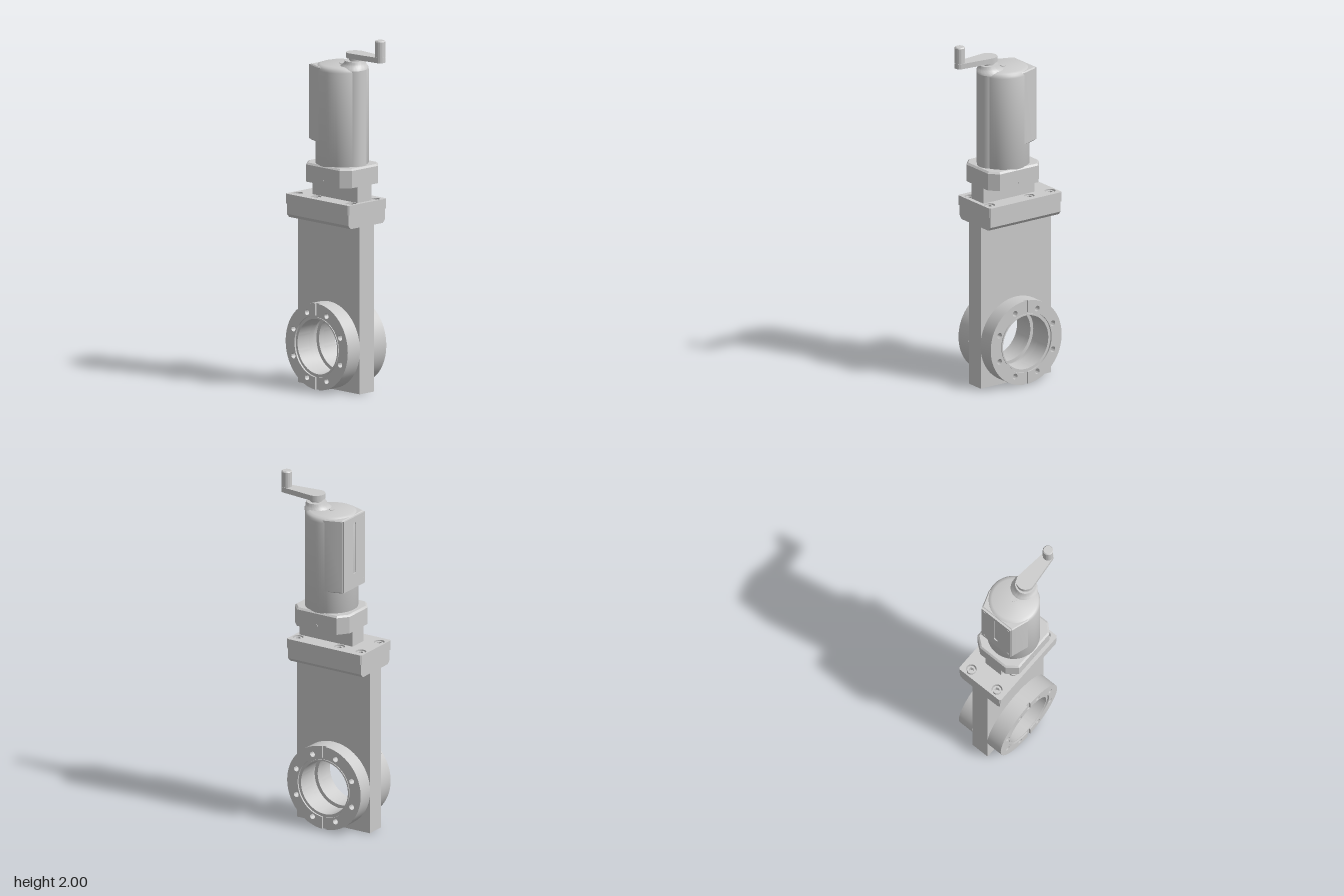
import * as THREE from 'three';
import { toCreasedNormals } from 'three/addons/utils/BufferGeometryUtils.js';

const material = new THREE.MeshStandardMaterial({ color: 0xcccccc, side: THREE.DoubleSide });

function part(parent, name, geometry, x = 0, y = 0, z = 0) {
  const mesh = new THREE.Mesh(geometry, material);
  mesh.name = name;
  mesh.position.set(x, y, z);
  parent.add(mesh);
  return mesh;
}

// Extrusion along z from z0 to z1, with an optional chamfer kept inside the outline
function solid(shape, z0, z1, bevel = 0) {
  const g = new THREE.ExtrudeGeometry(shape, {
    depth: z1 - z0 - 2 * bevel, curveSegments: 48, bevelEnabled: bevel > 0,
    bevelSize: bevel, bevelThickness: bevel, bevelOffset: -bevel, bevelSegments: 1,
  });
  g.translate(0, 0, z0 + bevel);
  return toCreasedNormals(g, 0.5);
}
// The same, standing upright between two heights
const slab = (shape, y0, y1, bevel) => solid(shape, y0, y1, bevel).rotateX(-Math.PI / 2);

const poly = (pts) => new THREE.Shape(pts.map(([x, y]) => new THREE.Vector2(x, y)));
const rect = (x0, y0, x1, y1) => poly([[x0, y0], [x1, y0], [x1, y1], [x0, y1]]);
const hole = (x, y, r) => new THREE.Path().absarc(x, y, r, 0, Math.PI * 2, true);
function ring(R, r) {
  const s = new THREE.Shape().absarc(0, 0, R, 0, Math.PI * 2, false);
  s.holes.push(hole(0, 0, r));
  return s;
}
const lathe = (pts) => toCreasedNormals(
  new THREE.LatheGeometry(pts.map(([x, y]) => new THREE.Vector2(x, y)), 64), 0.6);
const cyl = (r, h, n = 32) => new THREE.CylinderGeometry(r, r, h, n);

const PORT = { x: -0.066, y: 0.247 };

// Port flange: bolt circle, recessed seat, lip and two leak-check grooves
function portFlange() {
  const g = new THREE.Group();
  const R = 0.243, seat = 0.174, gap = 0.012;
  const bolts = [];
  for (let i = 0; i < 8; i++) {
    const a = (i + 0.5) * Math.PI / 4;
    bolts.push([0.198 * Math.cos(a), 0.198 * Math.sin(a)]);
  }
  const base = ring(R, 0.155);
  bolts.forEach(([x, y]) => base.holes.push(hole(x, y, 0.016)));
  part(g, 'flangeBase', solid(base, 0.055, 0.14));
  for (const s of [1, -1]) {
    const a = Math.acos(gap / R), b = Math.acos(gap / seat);
    const half = new THREE.Shape();
    half.absarc(0, 0, R, -a, a, false);
    half.absarc(0, 0, seat, b, -b, true);
    half.closePath();
    bolts.filter(([x]) => x > 0).forEach(([x, y]) => half.holes.push(hole(x, y, 0.016)));
    part(g, 'flangeFace', solid(half, 0.14, 0.15)).rotation.z = s > 0 ? 0 : Math.PI;
    if (s < 0) g.children.at(-1).position.z = 0;
  }
  part(g, 'seatLip', solid(ring(0.163, 0.155), 0.14, 0.145));
  return g;
}

function bolt() {
  const g = new THREE.Group();
  g.name = 'bolt';
  const head = new THREE.Shape().absarc(0, 0, 0.023, 0, Math.PI * 2, false);
  const hex = [...Array(6)].map((_, i) => new THREE.Vector2(
    0.014 * Math.cos(-i * Math.PI / 3), 0.014 * Math.sin(-i * Math.PI / 3)));
  head.holes.push(new THREE.Path(hex));
  part(g, 'boltHead', slab(head, 1.03, 1.07));
  part(g, 'boltShank', cyl(0.014, 0.1), 0, 0.985);
  return g;
}

export function createModel() {
  const model = new THREE.Group();
  model.name = 'gateValve';

  // Valve body in three layers, leaving a gate groove inside the bore
  for (const [z0, z1, r] of [[-0.055, -0.022, 0.155], [-0.022, 0.022, 0.175], [0.022, 0.055, 0.155]]) {
    const plate = rect(-0.307, 0, 0.175, 0.95);
    plate.holes.push(hole(PORT.x, PORT.y, r));
    part(model, 'valveBody', solid(plate, z0, z1));
  }
  for (const turn of [0, Math.PI]) {
    const flange = portFlange();
    flange.name = turn ? 'backFlange' : 'frontFlange';
    flange.position.set(PORT.x, PORT.y, 0);
    flange.rotation.y = turn;
    model.add(flange);
  }

  // Bonnet: chamfered lower plate and drilled upper plate
  const lower = poly([[-0.125, 0.94], [0.125, 0.94], [0.143, 0.96], [0.143, 1.022], [-0.143, 1.022], [-0.143, 0.96]]);
  part(model, 'bonnetLowerPlate', solid(lower, -0.175, 0.307).rotateY(-Math.PI / 2));
  const c = 0.008;
  const upper = poly([[-0.313 + c, -0.15], [0.182 - c, -0.15], [0.182, -0.15 + c], [0.182, 0.15 - c],
    [0.182 - c, 0.15], [-0.313 + c, 0.15], [-0.313, 0.15 - c], [-0.313, -0.15 + c]]);
  for (const x of [-0.272, -0.13, 0.143]) {
    for (const z of [-0.092, 0.092]) {
      upper.holes.push(hole(x, z, 0.03));
      const b = bolt();
      b.position.set(x, 0, z);
      model.add(b);
    }
  }
  part(model, 'bonnetUpperPlate', slab(upper, 1.02, 1.075));

  // Neck and eight-sided collar
  part(model, 'neck', new THREE.BoxGeometry(0.35, 0.1, 0.11), -0.018, 1.12, 0);
  const collar = poly([[-0.15, -0.15], [0.113, -0.15], [0.16, -0.1], [0.16, 0.1],
    [0.113, 0.15], [-0.15, 0.15], [-0.197, 0.09], [-0.197, -0.09]]);
  part(model, 'collar', slab(collar, 1.165, 1.26));
  part(model, 'collarTop', slab(collar, 1.25, 1.272, 0.01));
  for (const z of [-0.15, 0.15]) part(model, 'collarPin', cyl(0.008, 0.004), -0.018, 1.19, z).rotation.x = Math.PI / 2;

  // Actuator housing with rounded cap and crank-side column
  part(model, 'actuatorHousing', lathe([[0.142, 1.26], [0.147, 1.27], [0.147, 1.8], [0.144, 1.814],
    [0.136, 1.824], [0.12, 1.83], [0, 1.83]]), -0.018);
  part(model, 'capPlug', cyl(0.016, 0.006), -0.018, 1.83, 0);
  part(model, 'shaftColumn', cyl(0.075, 0.56, 64), 0.068, 1.545, 0);

  // Squared indicator housing on the side, with a slotted cover
  const side = poly([[-0.161, -0.107], [-0.064, -0.14], [-0.018, -0.14], [-0.018, 0.14], [-0.064, 0.14], [-0.161, 0.107]]);
  part(model, 'indicatorHousing', slab(side, 1.395, 1.822, 0.006));
  const cover = rect(-0.105, 1.4, 0.105, 1.818);
  const slot = new THREE.Path();
  slot.absarc(0, 1.77, 0.015, 0, Math.PI, false);
  slot.absarc(0, 1.5, 0.015, Math.PI, Math.PI * 2, false);
  slot.closePath();
  cover.holes.push(slot);
  part(model, 'indicatorCover', solid(cover, 0.158, 0.17).rotateY(-Math.PI / 2));
  for (const y of [1.425, 1.79]) {
    for (const z of [-0.085, 0.085]) part(model, 'coverScrew', cyl(0.009, 0.004), -0.17, y, z).rotation.z = Math.PI / 2;
  }

  // Flared boss, leaning so its outer side stays flush with the column
  const boss = lathe([[0.085, 1.81], [0.078, 1.826], [0.066, 1.836], [0.06, 1.848], [0.056, 1.86], [0, 1.86]]);
  const p = boss.attributes.position;
  for (let i = 0; i < p.count; i++) {
    const t = THREE.MathUtils.clamp((p.getY(i) - 1.81) / 0.038, 0, 1);
    p.setX(i, p.getX(i) + THREE.MathUtils.lerp(0.058, 0.083, t));
  }
  part(model, 'crankBoss', boss);
  part(model, 'crankNut', cyl(0.036, 0.03, 6), 0.085, 1.867, 0);

  // Tapered crank arm and upright grip
  const a = Math.acos((0.051 - 0.03) / 0.194);
  const arm = new THREE.Shape();
  arm.absarc(0.085, 0, 0.051, a, Math.PI * 2 - a, false);
  arm.absarc(0.279, 0, 0.03, -a, a, false);
  arm.closePath();
  part(model, 'crankArm', slab(arm, 1.877, 1.907));
  part(model, 'crankGrip', lathe([[0.029, 1.9], [0.029, 1.994], [0.024, 2], [0, 2]]), 0.279);
  return model;
}
